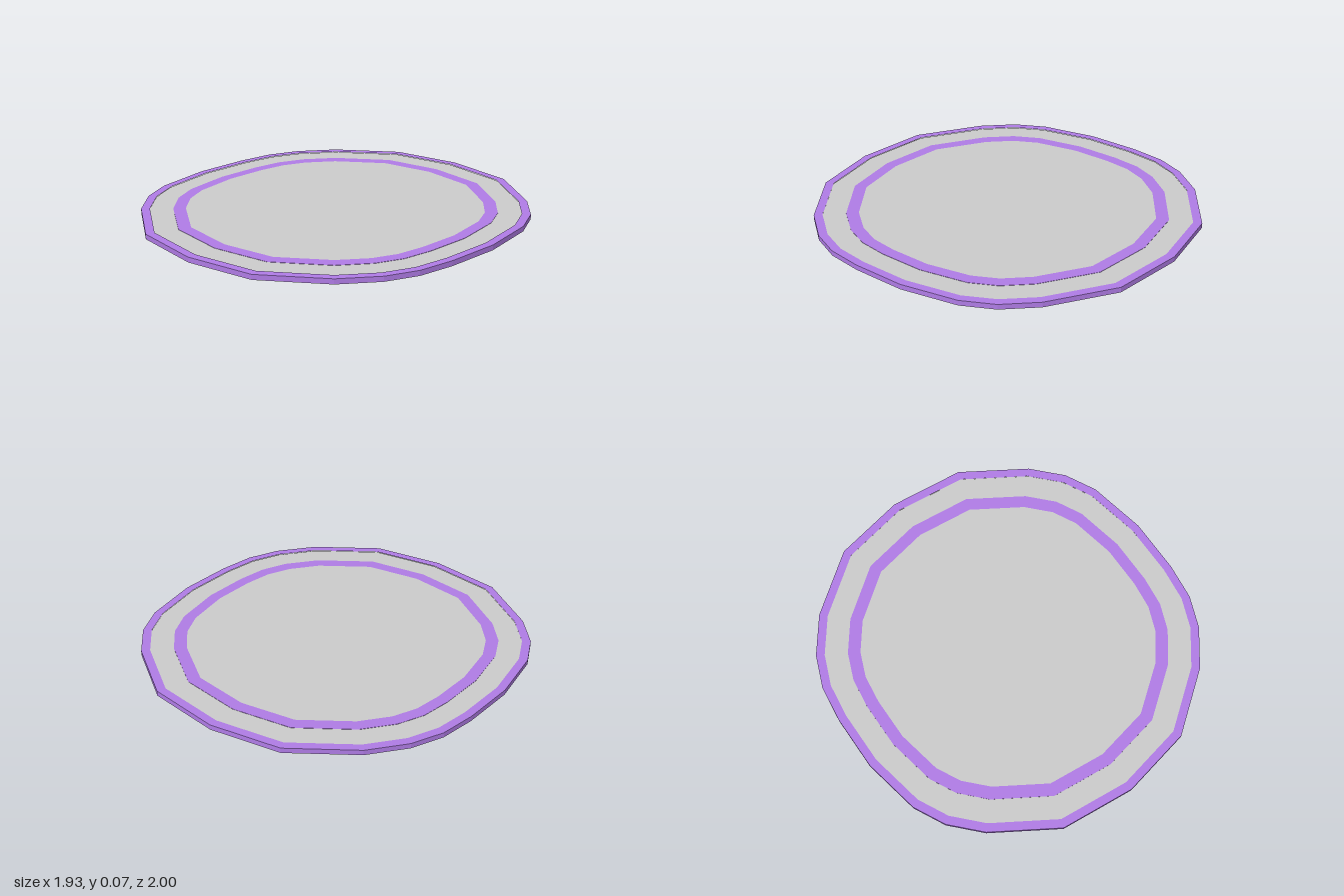
import * as THREE from 'three';

// half of the 22-sided outline (x, z); the other half is its point mirror
const HALF = [
  [0.03, -1], [0.42, -0.93], [0.73, -0.70], [0.86, -0.54], [0.93, -0.37], [0.965, -0.06],
  [0.94, 0.23], [0.90, 0.42], [0.82, 0.58], [0.67, 0.75], [0.35, 0.955],
];
const OUTLINE = [...HALF, ...HALF.map(([x, z]) => [-x, -z])];

const loop = (scale) => OUTLINE.map(([x, z]) => new THREE.Vector2(x * scale, -z * scale));

// horizontal slab between two heights, with an optional hole of the same outline
function slab(name, material, outer, inner, y0, y1) {
  const shape = new THREE.Shape(loop(outer));
  if (inner) shape.holes.push(new THREE.Path(loop(inner)));
  const geometry = new THREE.ExtrudeGeometry(shape, { depth: y1 - y0, bevelEnabled: false });
  geometry.rotateX(-Math.PI / 2);
  geometry.translate(0, y0, 0);
  const mesh = new THREE.Mesh(geometry, material);
  mesh.name = name;
  return mesh;
}

export function createModel() {
  const grey = new THREE.MeshStandardMaterial({ color: 0xcccccc, flatShading: true });
  const purple = new THREE.MeshStandardMaterial({ color: 0xb07ce6, flatShading: true });
  const model = new THREE.Group();
  model.name = 'platform';

  // disc layers
  model.add(
    slab('underside', grey, 0.999, 0, 0.030, 0.032),
    slab('rim', purple, 1, 0.955, 0.032, 0.058),
    slab('topPanel', grey, 0.956, 0, 0.032, 0.055),
    slab('innerBand', purple, 0.835, 0.77, 0.0545, 0.0565),
  );

  // four thin radial fins underneath, tapering at both ends
  const profile = new THREE.Shape([
    new THREE.Vector2(0.75, 0.031), new THREE.Vector2(0.78, 0.010),
    new THREE.Vector2(0.94, 0.010), new THREE.Vector2(0.97, 0.031),
  ]);
  const finGeometry = new THREE.ExtrudeGeometry(profile, { depth: 0.008, bevelEnabled: false });
  finGeometry.translate(0, 0, -0.004);
  const spread = 0.61;
  for (const angle of [spread, -spread, Math.PI - spread, Math.PI + spread]) {
    const fin = new THREE.Mesh(finGeometry, grey);
    fin.name = 'underFin';
    fin.rotation.y = angle;
    model.add(fin);
  }

  // slight forward tilt
  model.rotation.x = 0.0145;
  const root = new THREE.Group();
  root.name = 'tiltedPlatform';
  root.add(model);
  return root;
}
